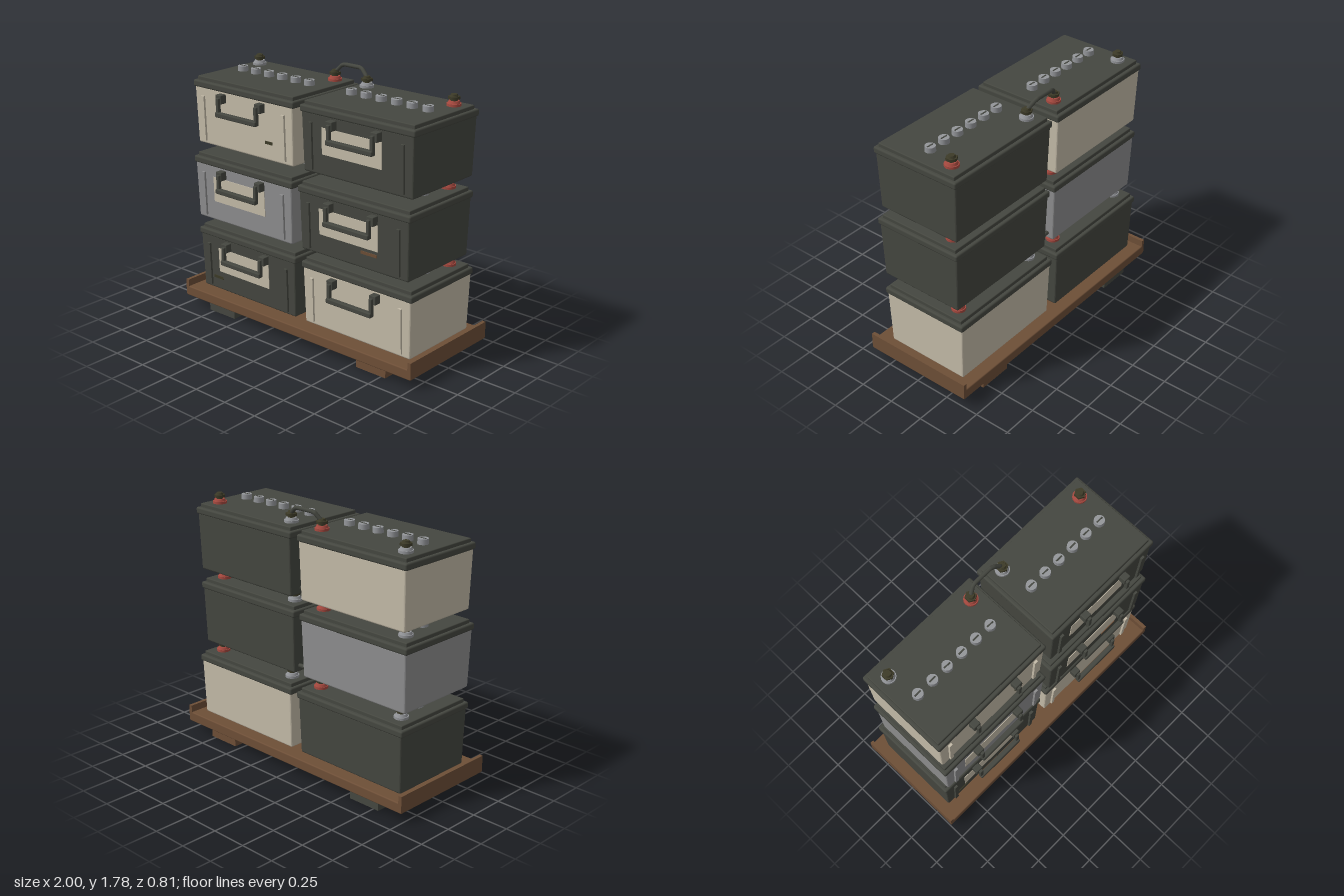
import * as THREE from 'three';
import { RoundedBoxGeometry } from 'three/addons/geometries/RoundedBoxGeometry.js';

const mat = (name, color) => {
  const m = new THREE.MeshStandardMaterial({ color });
  m.name = name;
  return m;
};

const M = {
  dark: mat('charcoal plastic', 0x454740),
  cream: mat('cream plastic', 0xc6bdaa),
  grey: mat('grey plastic', 0x8f8f90),
  cap: mat('cap grey', 0x94969a),
  wood: mat('brown tray', 0x6e4f37),
  red: mat('positive red', 0xa84a40),
  olive: mat('olive metal', 0x3d3b28),
};

function add(parent, name, geometry, material, x = 0, y = 0, z = 0) {
  const mesh = new THREE.Mesh(geometry, material);
  mesh.name = name;
  mesh.position.set(x, y, z);
  parent.add(mesh);
  return mesh;
}

const box = (w, h, d) => new THREE.BoxGeometry(w, h, d);
const rounded = (w, h, d, r) => new RoundedBoxGeometry(w, h, d, 2, r);
const cyl = (r1, r2, h, n) => new THREE.CylinderGeometry(r1, r2, h, n);

// Case dimensions, measured from the bottom of each battery
const BODY_H = 0.4;
const FRONT_LOW = 0.305, FRONT_HIGH = 0.318;
const TILT = Math.atan((FRONT_HIGH - FRONT_LOW) / BODY_H);
const frontZ = (y) => FRONT_LOW + (FRONT_HIGH - FRONT_LOW) * y / BODY_H;
const LID_TOP = 0.46;
const POST_X = 0.345, POST_Z = -0.205;

// Case narrows slightly towards the bottom
function bodyGeometry() {
  const g = rounded(0.886, BODY_H, FRONT_HIGH * 2, 0.012);
  const p = g.attributes.position;
  for (let i = 0; i < p.count; i++) {
    const t = p.getY(i) / BODY_H + 0.5;
    p.setX(i, p.getX(i) * (0.982 + 0.018 * t));
    p.setZ(i, p.getZ(i) * frontZ(t * BODY_H) / FRONT_HIGH);
  }
  g.computeVertexNormals();
  return g;
}

function frontPlate(parent, name, material, x, y, w, h, d = 0.008) {
  add(parent, name, box(w, h, d), material, x, y, frontZ(y)).rotation.x = TILT;
}

function makeTerminal(name, collar) {
  const g = new THREE.Group();
  g.name = name;
  add(g, 'collar', cyl(0.047, 0.047, 0.016, 16), collar, 0, 0.008, 0);
  add(g, 'collarTop', cyl(0.034, 0.041, 0.016, 16), collar, 0, 0.024, 0);
  add(g, 'post', cyl(0.022, 0.024, 0.07, 12), M.olive, 0, 0.035, 0);
  add(g, 'nut', cyl(0.038, 0.038, 0.018, 6), M.olive, 0, 0.05, 0);
  add(g, 'postTop', cyl(0.02, 0.027, 0.014, 12), M.olive, 0, 0.066, 0);
  return g;
}

function makeHandle() {
  const g = new THREE.Group();
  g.name = 'handle';
  for (const s of [-1, 1]) {
    add(g, 'handleBracket', rounded(0.052, 0.06, 0.05, 0.005), M.dark, s * 0.177, 0.35, 0.34);
    add(g, 'handleArm', rounded(0.025, 0.125, 0.026, 0.005), M.dark, s * 0.172, 0.299, 0.369);
  }
  add(g, 'handleBar', rounded(0.37, 0.034, 0.036, 0.008), M.dark, 0, 0.252, 0.375);
  return g;
}

function makeBattery({ x, y, z, color, label, stripe }) {
  const g = new THREE.Group();
  g.name = 'battery';
  g.position.set(x, y, z);
  add(g, 'case', bodyGeometry(), color, 0, BODY_H / 2, 0);
  add(g, 'lidRim', rounded(0.908, 0.046, 0.65, 0.012), M.dark, 0, 0.412, 0);
  add(g, 'lidTop', rounded(0.866, 0.05, 0.6, 0.006), M.dark, 0, LID_TOP - 0.025, 0);
  for (const s of [-1, 1]) frontPlate(g, 'frontRib', color, s * 0.364, 0.18, 0.025, 0.31, 0.03);
  if (label) frontPlate(g, 'label', M.cream, -0.037, 0.228, 0.476, 0.175);
  if (stripe) frontPlate(g, 'stripe', stripe.color, stripe.x, stripe.y, stripe.w, 0.02);
  g.add(makeHandle());

  // Row of slotted filler caps
  for (let i = 0; i < 6; i++) {
    const cx = (i - 2.5) * 0.121;
    add(g, 'fillerCap', cyl(0.035, 0.036, 0.035, 12), M.cap, cx, LID_TOP + 0.0175, 0);
    add(g, 'capSlot', box(0.05, 0.004, 0.01), M.dark, cx, LID_TOP + 0.035, 0);
  }

  const negative = makeTerminal('negativeTerminal', M.cap);
  negative.position.set(-POST_X, LID_TOP, POST_Z);
  const positive = makeTerminal('positiveTerminal', M.red);
  positive.position.set(POST_X, LID_TOP, POST_Z);
  g.add(negative, positive);
  return g;
}

// Bent cable joining the two batteries of a layer
function makeCable(y, z) {
  const pts = [[-0.135, 0.05, 0], [-0.122, 0.07, -0.007], [-0.095, 0.103, -0.02], [-0.07, 0.112, -0.024],
    [0.06, 0.112, -0.024], [0.085, 0.103, -0.02], [0.125, 0.07, -0.007], [0.14, 0.05, 0]]
    .map(([a, b, c]) => new THREE.Vector3(a, y + LID_TOP + b, z + POST_Z + c));
  const path = new THREE.CurvePath();
  for (let i = 1; i < pts.length; i++) path.add(new THREE.LineCurve3(pts[i - 1], pts[i]));
  return new THREE.TubeGeometry(path, 40, 0.014, 8, false);
}

function makeTray() {
  const g = new THREE.Group();
  g.name = 'tray';
  add(g, 'trayBase', rounded(2, 0.07, 0.8, 0.008), M.wood, 0, 0.098, 0);
  for (const s of [-1, 1]) add(g, 'endLip', box(0.025, 0.11, 0.8), M.wood, s * 0.9875, 0.128, 0);
  add(g, 'rightFoot', box(0.24, 0.064, 0.75), M.dark, -0.67, 0.032, 0);
  add(g, 'leftFoot', box(0.24, 0.064, 0.75), M.wood, 0.665, 0.032, 0);
  return g;
}

export function createModel() {
  const model = new THREE.Group();
  model.name = 'batteryStack';
  model.add(makeTray());

  // Layers from bottom to top, each a pair of batteries
  const layers = [
    { y: 0.137, z: -0.011,
      right: { x: -0.482, color: M.dark, label: true, stripe: { color: M.olive, x: -0.29, y: 0.091, w: 0.09 } },
      left: { x: 0.477, color: M.cream } },
    { y: 0.665, z: 0.018,
      right: { x: -0.48, color: M.grey, label: true },
      left: { x: 0.474, color: M.dark, label: true, stripe: { color: M.wood, x: 0.13, y: 0.108, w: 0.128 } } },
    { y: 1.193, z: 0.002,
      right: { x: -0.479, color: M.cream, stripe: { color: M.olive, x: 0.228, y: 0.121, w: 0.064 } },
      left: { x: 0.483, color: M.dark, label: true } },
  ];
  for (const { y, z, right, left } of layers) {
    model.add(makeBattery({ y, z, ...right }), makeBattery({ y, z, ...left }));
    add(model, 'cable', makeCable(y, z), M.dark);
  }
  return model;
}
